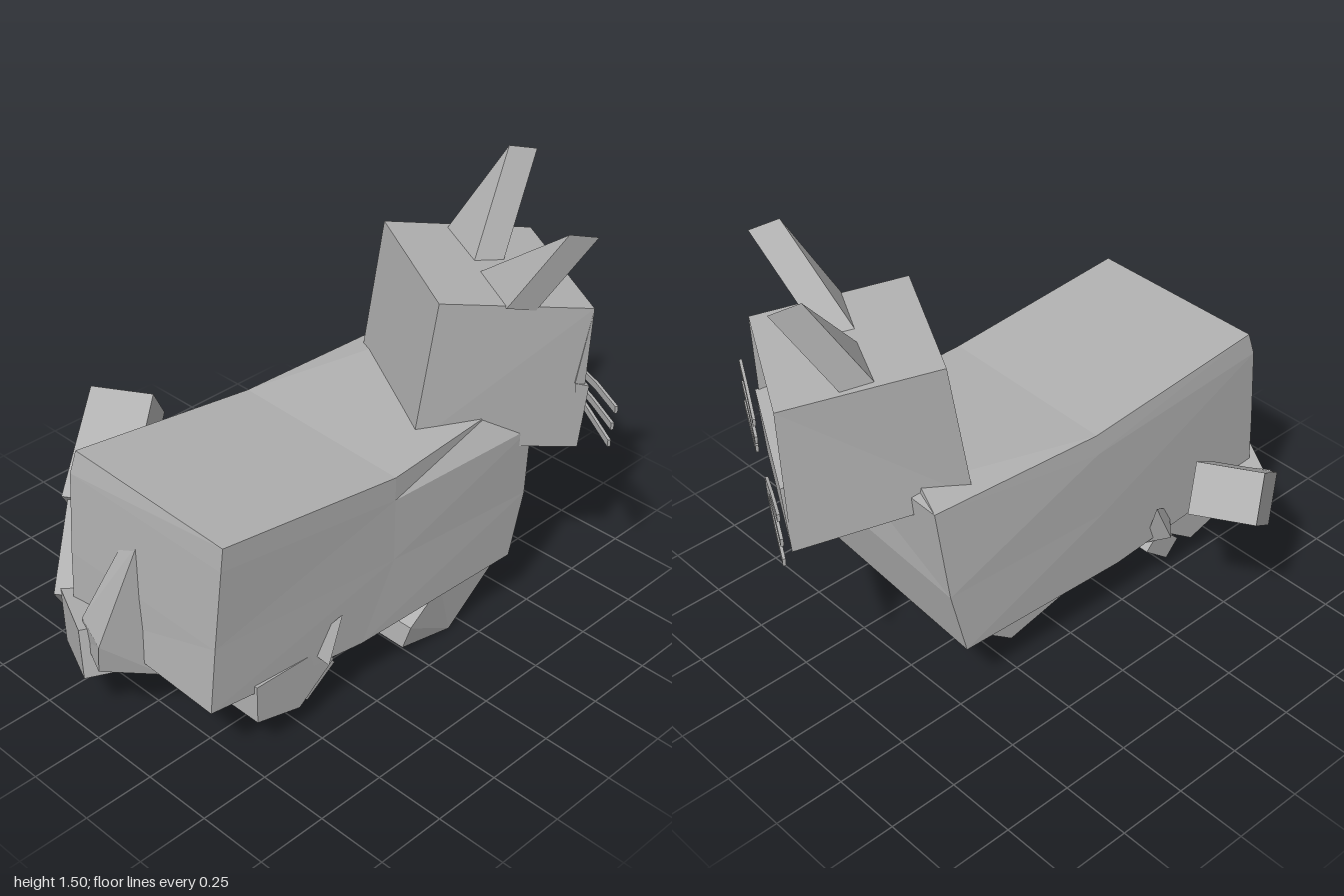
import * as THREE from 'three';

const V = (p) => new THREE.Vector3(...p);
const shift = (ring, d) => ring.map((p) => p.map((c, k) => c + d[k]));

export function createModel() {
  const grey = new THREE.MeshStandardMaterial({ color: 0xb0b0b0, side: THREE.DoubleSide });
  const cat = new THREE.Group();
  cat.name = 'cat';

  // Faceted mesh from a list of corner triples, turned outward if needed
  function facets(name, tris) {
    let volume = 0;
    for (const [a, b, c] of tris) volume += V(a).dot(V(b).cross(V(c)));
    const pts = tris.flatMap(([a, b, c]) => (volume < 0 ? [a, c, b] : [a, b, c])).map(V);
    const geo = new THREE.BufferGeometry().setFromPoints(pts);
    geo.computeVertexNormals();
    const mesh = new THREE.Mesh(geo, grey);
    mesh.name = name;
    cat.add(mesh);
    return mesh;
  }

  // Skin through rings of equal size; caps pair corner i with corner n-1-i.
  // A dent point replaces the last cap with a hollow.
  function loft(name, rings, dent) {
    const n = rings[0].length, tris = [];
    for (let s = 0; s < rings.length - 1; s++) {
      for (let i = 0; i < n; i++) {
        const j = (i + 1) % n, a = rings[s], b = rings[s + 1];
        tris.push([a[i], b[i], b[j]], [a[i], b[j], a[j]]);
      }
    }
    const cap = (r, flip) => {
      for (let i = 0, j = n - 1; i + 1 < j; i++, j--) {
        const add = (a, b, c) => tris.push(flip ? [a, c, b] : [a, b, c]);
        add(r[i], r[i + 1], r[j]);
        if (i + 1 < j - 1) add(r[i + 1], r[j - 1], r[j]);
      }
    };
    cap(rings[0], false);
    const last = rings[rings.length - 1];
    if (dent) last.forEach((p, i) => tris.push([p, dent, last[(i + 1) % n]]));
    else cap(last, true);
    return facets(name, tris);
  }

  // Square beam between two points, with its own size at each end
  function beam(name, a, b, [w0, h0], [w1, h1]) {
    const dir = V(b).sub(V(a)).normalize();
    const side = new THREE.Vector3(0, 1, 0).cross(dir).normalize();
    const up = dir.clone().cross(side);
    const ring = (p, w, h) => [[-1, -1], [1, -1], [1, 1], [-1, 1]].map(([s, t]) =>
      V(p).addScaledVector(side, s * w / 2).addScaledVector(up, t * h / 2).toArray());
    return loft(name, [ring(a, w0, h0), ring(b, w1, h1)]);
  }

  // Body: rump, waist and chest sections
  loft('body', [
    [[-0.87, 0.27, 0.40], [-0.845, 0.5, 0.40], [-0.82, 0.78, 0.41], [-0.81, 0.86, 0.41],
      [-0.80, 0.87, -0.27], [-0.82, 0.79, -0.28], [-0.84, 0.5, -0.28], [-0.85, 0.27, -0.28]],
    [[-0.25, 0.20, 0.43], [-0.12, 0.47, 0.44], [-0.12, 0.70, 0.44], [-0.12, 0.785, 0.44],
      [-0.10, 0.79, -0.25], [-0.10, 0.72, -0.26], [-0.12, 0.47, -0.27], [-0.2, 0.21, -0.27]],
    [[0.42, 0.22, 0.47], [0.47, 0.46, 0.48], [0.47, 0.72, 0.49], [0.33, 0.80, 0.42],
      [0.50, 0.82, -0.08], [0.55, 0.80, -0.21], [0.53, 0.48, -0.25], [0.48, 0.24, -0.265]],
  ]);

  // Head: side profile with a muzzle step, swept across the turned head
  const cheek = [[0.17, 1.24, 0.335], [0.61, 1.155, 0.60], [0.57, 0.885, 0.578],
    [0.61, 0.87, 0.605], [0.60, 0.63, 0.585], [0.10, 0.74, 0.305]];
  loft('head', [cheek, shift(cheek, [0.265, 0.015, -0.485])]);

  // Ears: thick triangles, hollow at the front
  const earDepth = [0.09, -0.025, 0.045];
  const ears = {
    rightEar: [[0.35, 1.2, 0.455], [0.46, 1.21, 0.25], [0.47, 1.46, 0.585]],
    leftEar: [[0.50, 1.21, 0.19], [0.60, 1.215, -0.02], [0.755, 1.505, 0.10]],
  };
  for (const [name, back] of Object.entries(ears)) {
    const centre = [0, 1, 2].map((k) => (back[0][k] + back[1][k] + back[2][k]) / 3 + earDepth[k] * 0.2);
    loft(name, [back, shift(back, earDepth)], centre);
  }

  // Whiskers: thin curved ribbons just ahead of the muzzle, given as z and y
  const whiskers = [
    [[0.48, 0.85], [0.62, 0.87], [0.755, 0.873]],
    [[0.47, 0.79], [0.60, 0.80], [0.74, 0.80]],
    [[0.47, 0.755], [0.60, 0.742], [0.73, 0.728]],
    [[0.25, 0.82], [0.13, 0.865], [0.0, 0.895]],
    [[0.24, 0.81], [0.11, 0.83], [-0.03, 0.828]],
    [[0.23, 0.785], [0.10, 0.77], [-0.04, 0.762]],
  ];
  for (const line of whiskers) {
    loft('whisker', line.map(([z, y]) => {
      const x = 0.635 + (0.6 - z) * 0.546;
      return [[x, y - 0.013, z], [x + 0.009, y - 0.013, z + 0.005],
        [x + 0.009, y + 0.013, z + 0.005], [x, y + 0.013, z]];
    }));
  }

  // Legs: side profiles given a width along z
  const leg = (name, profile, z0, z1, inset = 0) => loft(name, [z0, z1].map((z, k) =>
    profile.map(([x, y], i) => [x, y, z + (i === 1 || i === 2 ? (k ? inset : -inset) : 0)])));
  const foreleg = [[0.42, 0.23], [0.19, 0], [-0.04, 0.05], [-0.03, 0.14], [0.11, 0.24]];
  leg('leftForeleg', foreleg.map(([x, y]) => [x + 0.02, y + (y < 0.2 ? 0.06 : 0.01)]), 0.01, -0.18);
  leg('rightForeleg', foreleg, 0.44, 0.205, 0.025);

  const hindleg = [[-0.70, 0.28], [-0.70, 0.14], [-0.52, 0.09], [-0.37, 0.20], [-0.40, 0.27]];
  leg('rightHindleg', hindleg, 0.42, 0.21);
  leg('leftHindleg', hindleg.map(([x, y]) => [x - 0.05, y + 0.02]), -0.07, -0.27);

  // Hind paws, and hocks standing out from the flank
  for (const [side, z, out] of [['right', 0.31, 1], ['left', -0.17, -1]]) {
    beam(side + 'HindPaw', [-0.38, 0.20, z], [-0.49, 0.10, z], [0.19, 0.09], [0.17, 0.08]);
    const flank = z + out * 0.08;
    facets(side + 'Hock', [
      [[-0.35, 0.38, flank + out * 0.05], [-0.47, 0.29, flank], [-0.35, 0.20, flank]],
      [[-0.35, 0.38, flank + out * 0.05], [-0.35, 0.20, flank], [-0.42, 0.22, flank + out * 0.06]],
      [[-0.35, 0.38, flank + out * 0.05], [-0.42, 0.22, flank + out * 0.06], [-0.47, 0.29, flank]],
      [[-0.47, 0.29, flank], [-0.42, 0.22, flank + out * 0.06], [-0.35, 0.20, flank]],
    ]);
  }

  // Tail: a wedge at the rump, then three blocks curling up and around
  loft('tailRoot', [
    [[-0.82, 0.68, 0.03], [-1.0, 0.39, 0.04], [-1.0, 0.29, 0.03], [-0.80, 0.20, 0.10]],
    [[-0.81, 0.68, -0.03], [-0.93, 0.37, -0.13], [-0.92, 0.27, -0.14], [-0.72, 0.15, -0.10]],
  ]);
  beam('tailBase', [-0.90, 0.28, -0.04], [-0.77, 0.22, -0.30], [0.18, 0.17], [0.18, 0.19]);
  beam('tailMiddle', [-0.76, 0.23, -0.31], [-0.56, 0.43, -0.46], [0.21, 0.18], [0.22, 0.18]);
  beam('tailTip', [-0.57, 0.43, -0.47], [-0.30, 0.67, -0.635], [0.23, 0.18], [0.22, 0.17]);

  return cat;
}
